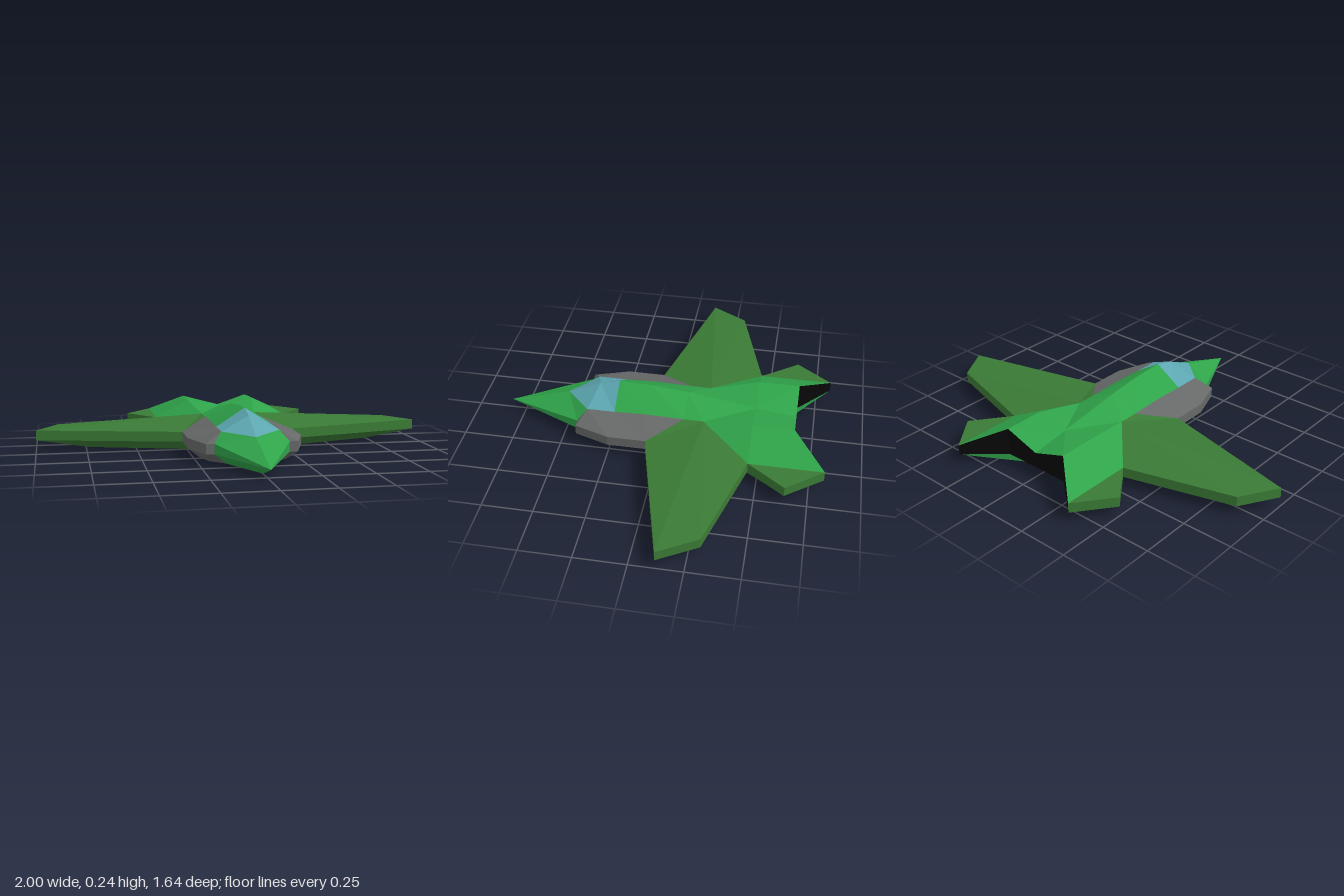
import * as THREE from 'three';

const mat = (name, color) => {
  const m = new THREE.MeshStandardMaterial({ color, flatShading: true });
  m.name = name;
  return m;
};

// Flat-shaded panel mesh from polygons on the left half, mirrored to the right.
// Every panel is wound to face away from a point inside the hull.
function panels(name, material, polygons) {
  const inside = new THREE.Vector3(0, 0.075, -0.2);
  const pos = [];
  for (const poly of polygons) {
    for (let i = 1; i < poly.length - 1; i++) {
      const [a, b, c] = [poly[0], poly[i], poly[i + 1]].map(p => new THREE.Vector3(...p));
      const n = b.clone().sub(a).cross(c.clone().sub(a));
      const mid = a.clone().add(b).add(c).divideScalar(3).sub(inside);
      const tri = n.dot(mid) >= 0 ? [a, b, c] : [a, c, b];
      for (const p of tri) pos.push(p.x, p.y, p.z);
      for (const p of [tri[0], tri[2], tri[1]]) pos.push(-p.x, p.y, p.z);
    }
  }
  const g = new THREE.BufferGeometry();
  g.setAttribute('position', new THREE.Float32BufferAttribute(pos, 3));
  g.computeVertexNormals();
  const mesh = new THREE.Mesh(g, material);
  mesh.name = name;
  return mesh;
}

const HIGH = 0.1, LOW = 0.05;
const at = (y, pts) => pts.map(([x, z]) => [x, y, z]);

// Upright rim along an outline (x, z)
const rim = outline => outline.slice(1).map((p, i) =>
  [...at(HIGH, [outline[i], p]), ...at(LOW, [p, outline[i]])]);

// Bevel from the rim down to an inset outline on the ground
const bevel = (outline, inset) => outline.slice(1).map((p, i) =>
  [...at(LOW, [outline[i], p]), ...at(0, [inset[i + 1], inset[i]])]);

export function createModel() {
  const green = mat('bright green', 0x2fa44a);
  const olive = mat('dark green', 0x3a7a35);
  const grey = mat('grey', 0x666968);
  const blue = mat('canopy blue', 0x5ca6b0);
  const black = mat('exhaust black', 0x080808);

  // Shared hull points
  const tip = [0, LOW, 0.82];
  const canopyFront = [0, 0.14, 0.51];
  const canopyMid = [0, 0.215, 0.34];
  const canopyTop = [0, 0.24, 0.24];
  const spineA = [0, 0.235, 0.08];
  const spineB = [0, 0.215, -0.11];
  const spineEnd = [0, 0.16, -0.46];
  const sideFront = [0.14, 0.15, 0.38];
  const sideCanopy = [0.14, 0.15, 0.24];
  const sideMid = [0.14, 0.155, 0.08];
  const sideWing = [0.14, 0.15, -0.11];
  const sideRear = [0.14, 0.15, -0.21];
  const humpFront = [0.18, 0.19, -0.455];
  const humpRear = [0.18, 0.19, -0.66];
  const deckRear = [0, 0.13, -0.66];
  const cheekHigh = [0.18, HIGH, 0.425];
  const cheekLow = [0.18, LOW, 0.425];
  const chin = [0, 0, 0.66];
  const keelFront = [0.12, 0, 0.4];
  const keelRear = [0.12, 0, -0.6];
  const tailRoot = [0.36, HIGH, -0.455];
  const tailTip = [0.36, HIGH, -0.82];

  // Outlines and their insets on the underside, as (x, z)
  const intake = [[0.18, 0.425], [0.22, 0.425], [0.28, 0.25], [0.28, 0.06]];
  const intakeIn = [[0.12, 0.4], [0.19, 0.33], [0.22, 0.22], [0.22, 0]];
  const wing = [[0.28, 0.06], [1, -0.12], [0.89, -0.305], [0.36, -0.455]];
  const wingIn = [[0.22, 0], [0.74, -0.16], [0.7, -0.25], [0.28, -0.4]];
  const tail = [[0.36, -0.455], [0.5, -0.64], [0.36, -0.82]];
  const tailIn = [[0.28, -0.4], [0.38, -0.55], [0.28, -0.65]];

  const group = new THREE.Group();
  group.name = 'jet';
  group.add(
    panels('nose', green, [
      [tip, chin, keelFront], [tip, keelFront, cheekLow], [tip, cheekLow, cheekHigh],
      [tip, cheekHigh, canopyFront], [cheekHigh, sideFront, canopyFront],
    ]),
    panels('canopy', blue, [
      [canopyMid, canopyFront, sideFront], [canopyMid, sideFront, sideCanopy],
      [canopyMid, sideCanopy, canopyTop],
    ]),
    panels('spine', green, [
      [canopyTop, sideCanopy, sideMid, spineA], [spineA, sideMid, sideWing, spineB],
      [spineB, sideWing, sideRear], [spineB, sideRear, spineEnd],
    ]),
    panels('rearDeck', green, [
      [sideRear, humpFront, spineEnd], [spineEnd, humpFront, humpRear, deckRear],
      [sideRear, tailRoot, humpFront], [humpFront, tailRoot, tailTip, humpRear],
    ]),
    panels('belly', green, [
      [chin, keelFront, keelRear, [0, 0, -0.6]],
      // rear underside bevels
      [[0.36, LOW, -0.82], [0.18, LOW, -0.66], keelRear, [0.28, 0, -0.65]],
      [[0.18, LOW, -0.66], [0, LOW, -0.66], [0, 0, -0.6], keelRear],
    ]),
    panels('exhaust', black, [
      [tailTip, humpRear, [0.18, LOW, -0.66], [0.36, LOW, -0.82]],
      [humpRear, deckRear, [0, LOW, -0.66], [0.18, LOW, -0.66]],
    ]),
    panels('intakes', grey, [
      [sideFront, cheekHigh, ...at(HIGH, intake.slice(1, 3)), sideCanopy],
      [sideCanopy, ...at(HIGH, intake.slice(2)), sideMid],
      [sideMid, [0.28, HIGH, 0.06], sideWing],
      ...rim(intake), ...bevel(intake, intakeIn),
      at(0, [[0.12, 0], ...intakeIn]),
    ]),
    panels('wings', olive, [
      [sideRear, ...at(HIGH, [...wing].reverse()), sideWing],
      ...rim(wing), ...bevel(wing, wingIn),
      at(0, [[0.12, -0.4], [0.12, 0], ...wingIn]),
    ]),
    panels('tailplanes', olive, [
      at(HIGH, tail), ...rim(tail), ...bevel(tail, tailIn),
      at(0, [[0.12, -0.6], [0.12, -0.4], ...tailIn]),
    ]),
  );
  return group;
}
